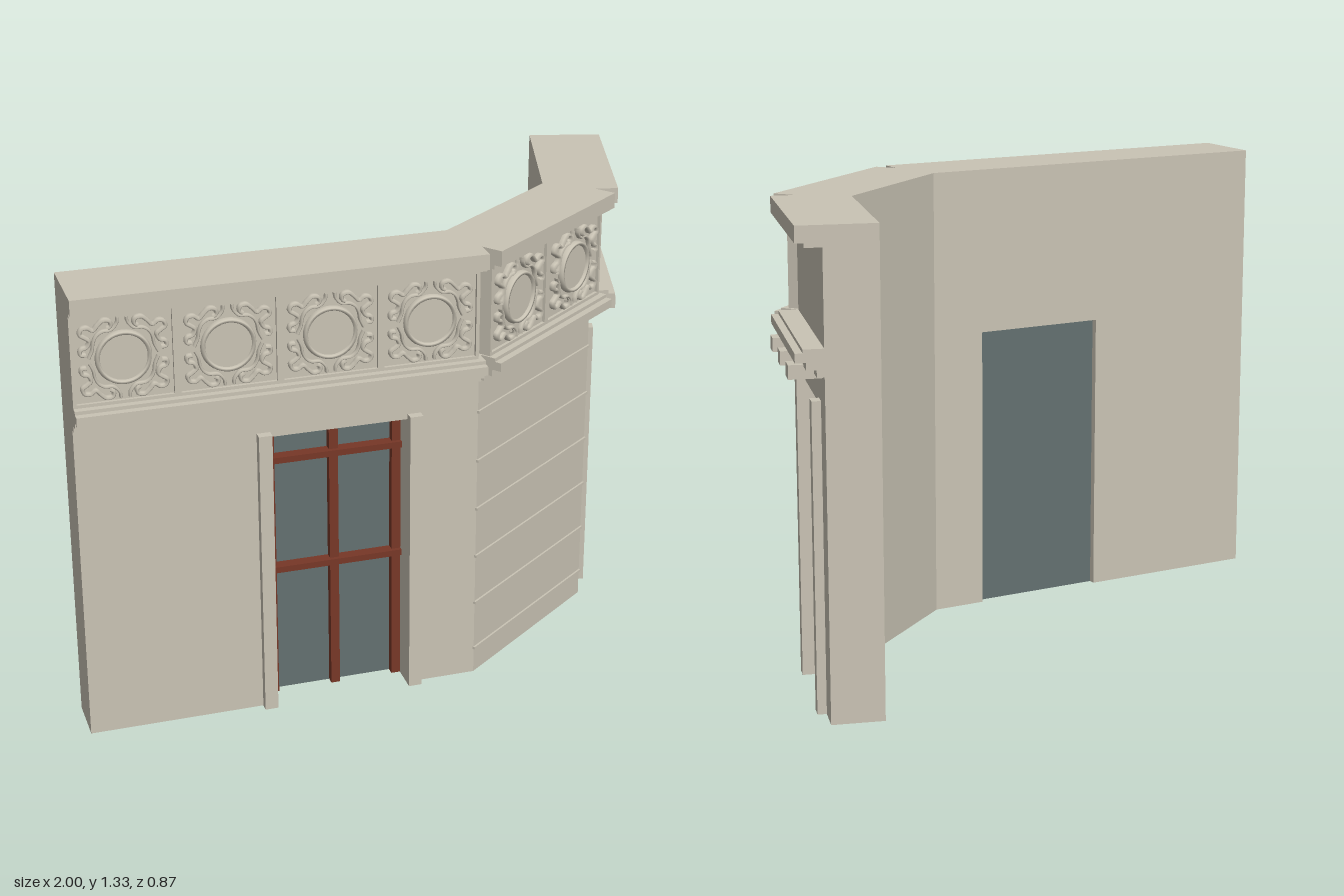
import * as THREE from 'three';

const stone = new THREE.MeshStandardMaterial({ color: 0xc9c3b4 });
const glass = new THREE.MeshStandardMaterial({ color: 0x637070 });
const wood = new THREE.MeshStandardMaterial({ color: 0x773727 });
stone.name = 'stone';
glass.name = 'glass';
wood.name = 'wood';

const HEIGHT = 1.325, DEPTH = 0.145, MITRE = DEPTH / 3, DOOR_TOP = 0.84;
const ANGLE = Math.atan2(0.6, 0.8);

function add(parent, name, geometry, material) {
  const mesh = new THREE.Mesh(geometry, material);
  mesh.name = name;
  parent.add(mesh);
  return mesh;
}

// Box given by its limits: along the wall, up, and outward
function block(parent, name, material, x0, x1, y0, y1, z0, z1) {
  const g = new THREE.BoxGeometry(x1 - x0, y1 - y0, z1 - z0);
  g.translate((x0 + x1) / 2, (y0 + y1) / 2, (z0 + z1) / 2);
  return add(parent, name, g, material);
}

// Wall with a door notch; its hinge ends are slanted to meet the next wall
function wall(parent, x0, x1, mitre0, mitre1, door) {
  const s = new THREE.Shape();
  s.moveTo(x0, 0);
  if (door) {
    s.lineTo(door[0], 0);
    s.lineTo(door[0], DOOR_TOP);
    s.lineTo(door[1], DOOR_TOP);
    s.lineTo(door[1], 0);
  }
  s.lineTo(x1, 0);
  s.lineTo(x1, HEIGHT);
  s.lineTo(x0, HEIGHT);
  const g = new THREE.ExtrudeGeometry(s, { depth: DEPTH, bevelEnabled: false });
  const p = g.attributes.position;
  for (let i = 0; i < p.count; i++) {
    const x = p.getX(i), z = p.getZ(i);
    if (mitre0 && Math.abs(x - x0) < 1e-5) p.setX(i, x - z / 3);
    if (mitre1 && Math.abs(x - x1) < 1e-5) p.setX(i, x + z / 3);
  }
  g.computeVertexNormals();
  add(parent, 'wall', g, stone);
}

// Stepped mouldings: bottom, top, outward reach
const mouldings = [
  ['lowerCornice', 0.935, 0.955, 0.165],
  ['lowerCornice', 0.955, 0.975, 0.192],
  ['lowerCornice', 0.975, 1.0, 0.22],
  ['lowerCornice', 1.0, 1.01, 0.2],
  ['copingStep', 1.268, 1.28, 0.192],
  ['coping', 1.28, HEIGHT, 0.215],
];
function cornice(parent, x0, x1) {
  for (const [name, y0, y1, z] of mouldings) block(parent, name, stone, x0, x1, y0, y1, DEPTH, z);
}

// Glazed door with three posts, three rails and projecting stone jambs
function doorway(parent, [a, b]) {
  const door = new THREE.Group();
  door.name = 'door';
  parent.add(door);
  block(door, 'doorGlass', glass, a, b, 0, DOOR_TOP, 0.02, 0.06);
  const w = 0.026, mid = (a + b) / 2;
  for (const x of [a, mid - w / 2, b - w])
    block(door, 'doorPost', wood, x, x + w, 0, DOOR_TOP, 0.06, 0.083);
  for (const [y0, y1] of [[0.822, 0.838], [0.732, 0.75], [0.392, 0.41]])
    block(door, 'doorRail', wood, a, b, y0, y1, 0.06, 0.095);
  for (const x of [a - 0.038, b])
    block(door, 'doorJamb', stone, x, x + 0.038, 0, 0.855, 0.1, 0.17);
}

// One quarter of the scrollwork: a C-shaped band curling in at both ends
const scrollPath = new THREE.CatmullRomCurve3([
  [0.04, 0.086], [0.031, 0.092], [0.033, 0.105], [0.05, 0.109], [0.065, 0.097],
  [0.078, 0.084], [0.093, 0.093], [0.108, 0.09], [0.113, 0.076], [0.1, 0.066],
  [0.089, 0.056], [0.096, 0.04], [0.112, 0.034], [0.113, 0.02], [0.1, 0.018],
].map(([x, y]) => new THREE.Vector3(x, y, 0)));
const scrollGeo = new THREE.TubeGeometry(scrollPath, 56, 0.006, 6);
const leafGeo = new THREE.TubeGeometry(new THREE.CatmullRomCurve3([
  [0.012, 0.113], [0.014, 0.098], [0.03, 0.08], [0.055, 0.077], [0.07, 0.066],
  [0.078, 0.05], [0.082, 0.028], [0.092, 0.006],
].map(([x, y]) => new THREE.Vector3(x, y, 0))), 28, 0.0045, 6);
const ringGeo = new THREE.TorusGeometry(0.069, 0.007, 6, 40);
const discGeo = new THREE.CylinderGeometry(0.064, 0.064, 0.008, 40).rotateX(Math.PI / 2);

// Square parapet panel with a raised border, medallion and scrolls
function panel(parent, x0, x1) {
  const y0 = 1.01, y1 = 1.268, t = 0.009;
  block(parent, 'panelBack', stone, x0, x1, y0, y1, DEPTH, 0.172);
  for (const [a, b] of [[x0, x0 + t], [x1 - t, x1]])
    block(parent, 'panelBorder', stone, a, b, y0, y1, 0.172, 0.181);
  for (const [a, b] of [[y0, y0 + t], [y1 - t, y1]])
    block(parent, 'panelBorder', stone, x0 + t, x1 - t, a, b, 0.172, 0.181);
  const o = new THREE.Group();
  o.name = 'panelOrnament';
  o.position.set((x0 + x1) / 2, (y0 + y1) / 2, 0.176);
  parent.add(o);
  add(o, 'medallionRing', ringGeo, stone).scale.z = 2;
  add(o, 'medallionDisc', discGeo, stone);
  for (const sx of [-1, 1]) for (const sy of [-1, 1]) {
    add(o, 'scroll', scrollGeo, stone).scale.set(sx, sy, 2.4);
    add(o, 'leafScroll', leafGeo, stone).scale.set(sx, sy, 2.2);
  }
}
function panels(parent, x0, x1, n) {
  const w = (x1 - x0) / n;
  for (let i = 0; i < n; i++) panel(parent, x0 + i * w, x0 + (i + 1) * w);
}

function section(root, name, x, angle) {
  const g = new THREE.Group();
  g.name = name;
  g.position.set(x, 0, 0.215);
  g.rotation.y = angle;
  root.add(g);
  return g;
}

export function createModel() {
  const root = new THREE.Group();
  root.name = 'cornerFacade';

  // Long wing on the -x side: door and four ornamental panels
  const long = section(root, 'longWing', 0, -ANGLE);
  const longDoor = [-0.55, -0.158];
  wall(long, -1.086, 0, false, true, longDoor);
  doorway(long, longDoor);
  cornice(long, -1.086, MITRE);
  panels(long, -1.086, 0.034, 4);

  // Centre bay: horizontal courses and two panels
  const centre = section(root, 'centreBay', 0, 0);
  wall(centre, 0, 0.495, true, true);
  cornice(centre, -MITRE - 0.005, 0.495 + MITRE);
  panels(centre, -MITRE, 0.495 + MITRE - 0.01, 2);
  for (let i = 0; i < 6; i++) {
    const y = 0.079 + i * 0.151;
    block(centre, 'courseLine', stone, -MITRE - 0.003, 0.495 + MITRE, y - 0.004, y + 0.004, 0.14, 0.151);
  }

  // Short wing on the +x side: door, plain parapet and brackets
  const short = section(root, 'shortWing', 0.495, ANGLE);
  const shortDoor = [0.08, 0.35];
  wall(short, 0, 0.47, true, false, shortDoor);
  doorway(short, shortDoor);
  cornice(short, -MITRE, 0.47);
  for (const x of [0.03, 0.2, 0.37])
    block(short, 'bracket', stone, x, x + 0.05, 0.922, 0.96, DEPTH, 0.232);

  return root;
}
